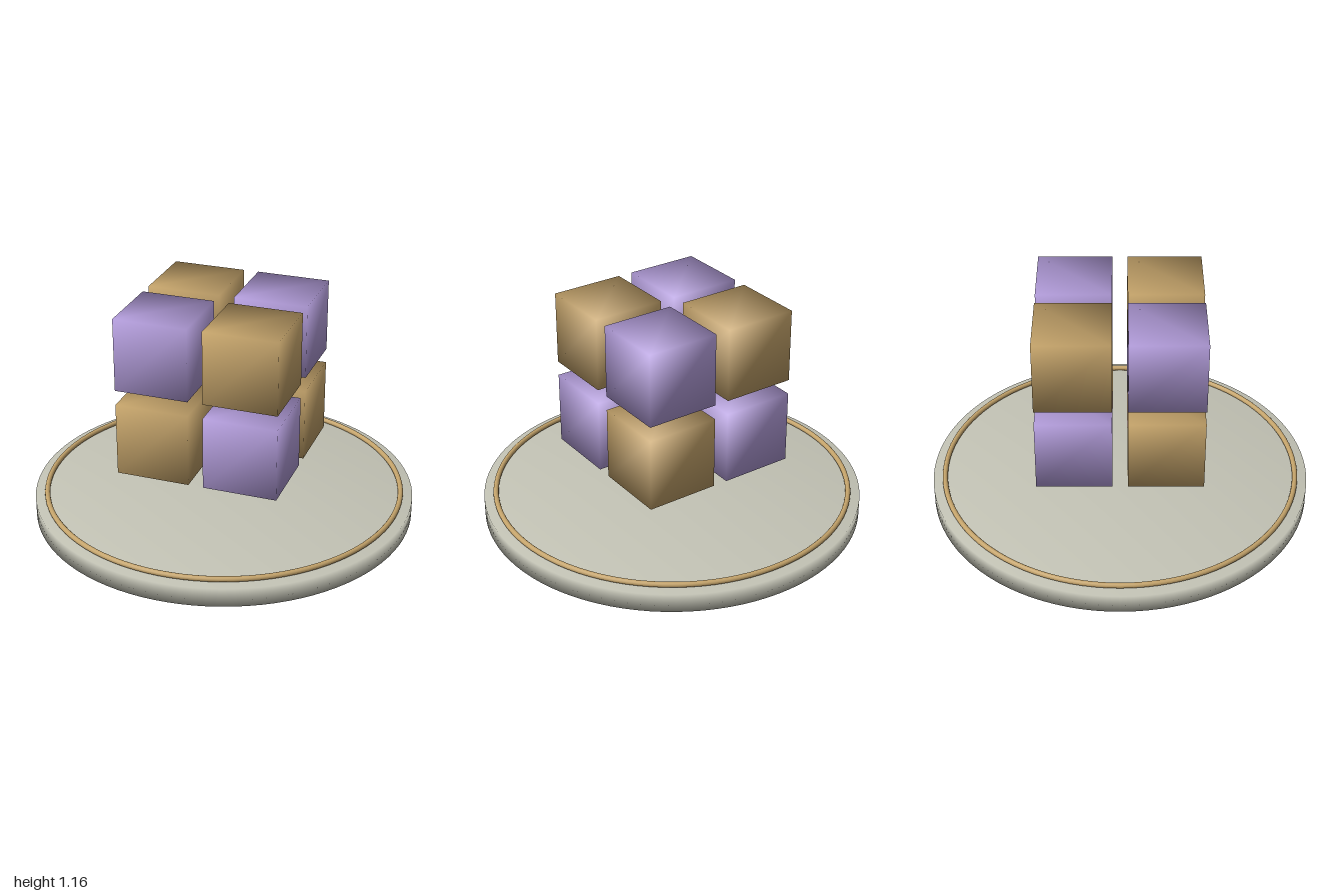
import * as THREE from 'three';
import { mergeVertices } from 'three/addons/utils/BufferGeometryUtils.js';

// Weld shared corners so shading rolls softly over the edges
function soften(geometry) {
  geometry.deleteAttribute('uv');
  geometry.deleteAttribute('normal');
  const welded = mergeVertices(geometry, 1e-4);
  welded.computeVertexNormals();
  return welded;
}

function material(name, color) {
  const m = new THREE.MeshStandardMaterial({ color });
  m.name = name;
  return m;
}

export function createModel() {
  const model = new THREE.Group();
  model.name = 'floatingCubeDisplay';

  const stone = material('paleStone', 0xc4c4b6);
  const gold = material('gold', 0xc4a36a);
  const violet = material('violet', 0xb39ddb);

  function add(name, geometry, mat, x, y, z, parent = model) {
    const mesh = new THREE.Mesh(geometry, mat);
    mesh.name = name;
    mesh.position.set(x, y, z);
    parent.add(mesh);
    return mesh;
  }

  // Round base
  add('base', soften(new THREE.CylinderGeometry(1, 1, 0.1, 96)), stone, 0, 0.05, 0);

  // Thin ring resting on the base
  const ring = new THREE.TorusGeometry(0.937, 0.014, 12, 96).rotateX(Math.PI / 2);
  add('trimRing', ring, gold, 0, 0.114, 0);

  // Two by two by two block of cubes in alternating colours
  const cubes = new THREE.Group();
  cubes.name = 'cubes';
  cubes.position.y = 0.74;
  model.add(cubes);
  const cube = soften(new THREE.BoxGeometry(0.386, 0.386, 0.386));
  const offset = 0.232;
  for (const sx of [-1, 1]) for (const sy of [-1, 1]) for (const sz of [-1, 1]) {
    const name = (sy > 0 ? 'upper' : 'lower') + (sz > 0 ? 'Front' : 'Back') + (sx > 0 ? 'Left' : 'Right') + 'Cube';
    add(name, cube, sx * sy * sz > 0 ? gold : violet, sx * offset, sy * offset, sz * offset, cubes);
  }

  return model;
}
